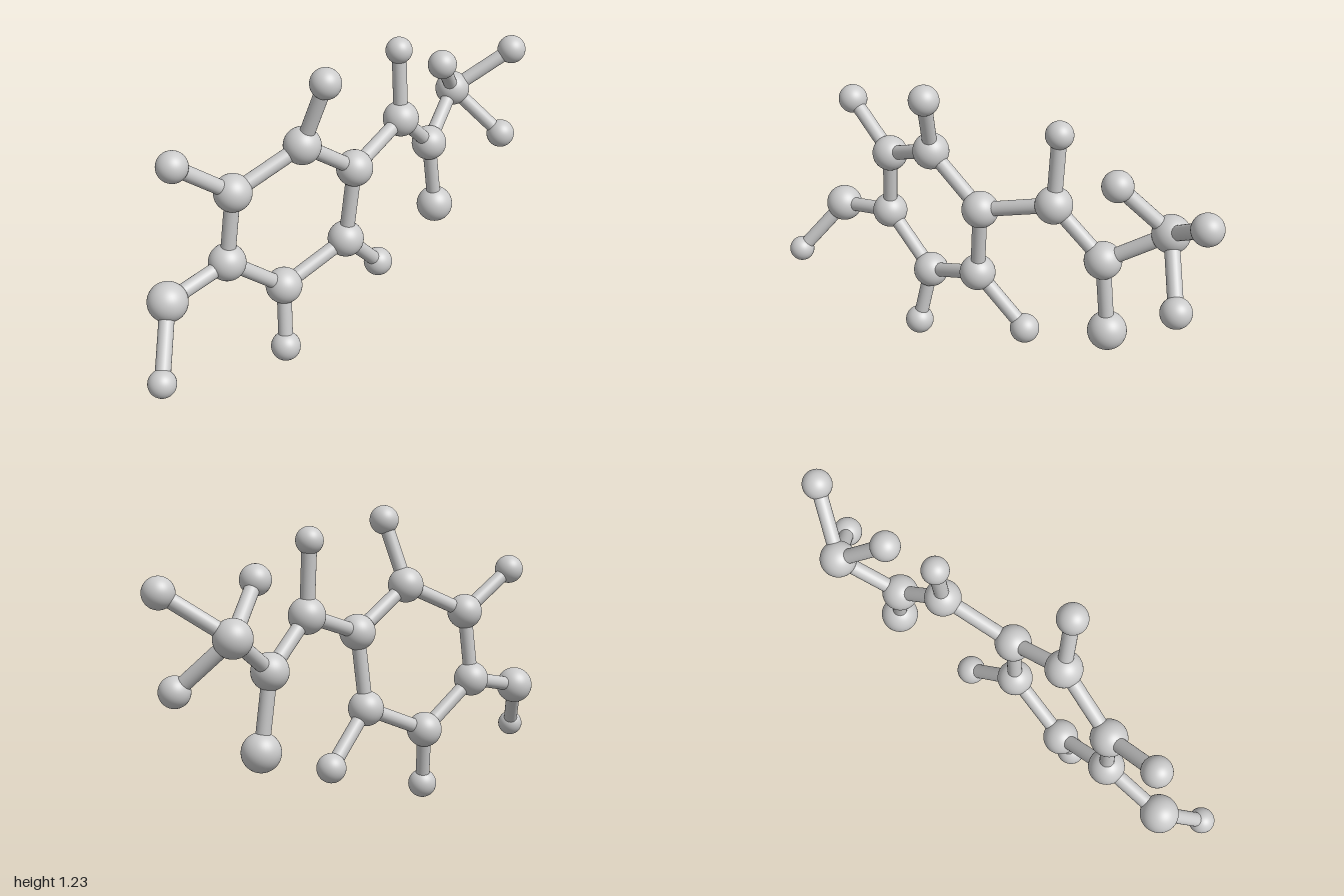
import * as THREE from 'three';

// Ball sizes by kind, and the common stick radius
const RADIUS = { carbon: 0.072, oxygen: 0.076, hydrogen: 0.059, smallHydrogen: 0.053 };
const STICK_RADIUS = 0.029;

// name: [kind, x, y, z]
const ATOMS = {
  ring1: ['carbon', 0.02, 0.495, 0.55],
  ring2: ['carbon', 0.033, 0.783, 0.52],
  ring3: ['carbon', 0.077, 0.91, 0.24],
  ring4: ['carbon', 0.068, 0.74, -0.01],
  ring5: ['carbon', 0.052, 0.43, 0.02],
  ring6: ['carbon', 0.03, 0.307, 0.305],
  hydroxylOxygen: ['oxygen', 0.04, 0.433, 0.82],
  hydroxylHydrogen: ['smallHydrogen', 0.196, 0.216, 0.947],
  ringHydrogen2: ['hydrogen', 0.014, 0.948, 0.75],
  ringHydrogen3: ['hydrogen', 0.157, 1.17, 0.19],
  ringHydrogen5: ['hydrogen', 0.0, 0.227, -0.187],
  ringHydrogen6: ['hydrogen', 0.078, 0.061, 0.335],
  chainCarbon: ['carbon', -0.015, 0.84, -0.305],
  chainHydrogen: ['smallHydrogen', -0.036, 1.123, -0.305],
  carbonylCarbon: ['carbon', -0.068, 0.657, -0.505],
  carbonylOxygen: ['oxygen', -0.064, 0.358, -0.545],
  endCarbon: ['carbon', -0.177, 0.813, -0.722],
  endHydrogenA: ['hydrogen', -0.061, 0.996, -0.556],
  endHydrogenB: ['hydrogen', -0.056, 0.976, -0.94],
  endHydrogenC: ['hydrogen', -0.02, 0.617, -0.87],
};

const BONDS = [
  // six-sided ring
  ['ring1', 'ring2'], ['ring2', 'ring3'], ['ring3', 'ring4'],
  ['ring4', 'ring5'], ['ring5', 'ring6'], ['ring6', 'ring1'],
  // ring side branches
  ['ring1', 'hydroxylOxygen'], ['hydroxylOxygen', 'hydroxylHydrogen'],
  ['ring2', 'ringHydrogen2'], ['ring3', 'ringHydrogen3'],
  ['ring5', 'ringHydrogen5'], ['ring6', 'ringHydrogen6'],
  // tail chain
  ['ring4', 'chainCarbon'], ['chainCarbon', 'chainHydrogen'],
  ['chainCarbon', 'carbonylCarbon'], ['carbonylCarbon', 'carbonylOxygen'],
  ['carbonylCarbon', 'endCarbon'], ['endCarbon', 'endHydrogenA'],
  ['endCarbon', 'endHydrogenB'], ['endCarbon', 'endHydrogenC'],
];

export function createModel() {
  const model = new THREE.Group();
  model.name = 'ballAndStickMolecule';
  const material = new THREE.MeshStandardMaterial({ color: 0xcccccc });
  const position = (name) => new THREE.Vector3(...ATOMS[name].slice(1));

  // Balls
  const atoms = new THREE.Group();
  atoms.name = 'atoms';
  const ball = new THREE.SphereGeometry(1, 40, 28);
  for (const [name, [kind]] of Object.entries(ATOMS)) {
    const mesh = new THREE.Mesh(ball, material);
    mesh.name = name;
    mesh.position.copy(position(name));
    mesh.scale.setScalar(RADIUS[kind]);
    atoms.add(mesh);
  }

  // Sticks, running from ball centre to ball centre
  const bonds = new THREE.Group();
  bonds.name = 'bonds';
  const up = new THREE.Vector3(0, 1, 0);
  for (const [from, to] of BONDS) {
    const a = position(from), b = position(to);
    const span = b.clone().sub(a);
    const stick = new THREE.CylinderGeometry(STICK_RADIUS, STICK_RADIUS, span.length(), 24, 1, true);
    const mesh = new THREE.Mesh(stick, material);
    mesh.name = `bond ${from} to ${to}`;
    mesh.position.copy(a).add(b).multiplyScalar(0.5);
    mesh.quaternion.setFromUnitVectors(up, span.normalize());
    bonds.add(mesh);
  }

  model.add(atoms, bonds);
  return model;
}
